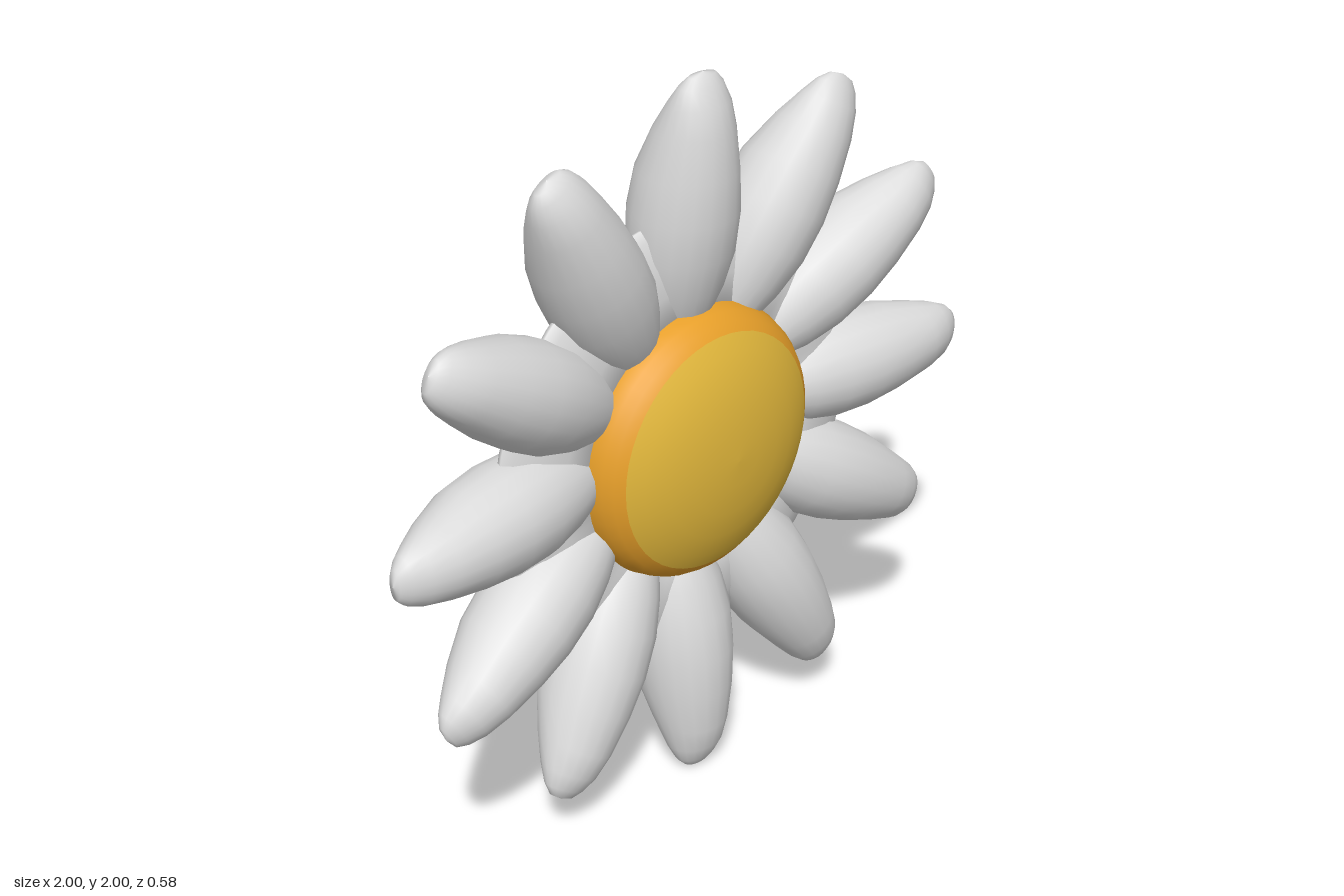
import * as THREE from 'three';
import { mergeVertices } from 'three/addons/utils/BufferGeometryUtils.js';

const paint = (name, color) => {
  const m = new THREE.MeshStandardMaterial({ color });
  m.name = name;
  return m;
};

// Petal sections: distance from the centre, half width, back z, front z
const SECTIONS = [
  [0.25, 0.002, 0.05, 0.054], [0.27, 0.045, -0.005, 0.1], [0.33, 0.09, -0.042, 0.14],
  [0.42, 0.122, -0.057, 0.178], [0.52, 0.14, -0.063, 0.21], [0.63, 0.14, -0.06, 0.228],
  [0.74, 0.128, -0.035, 0.23], [0.85, 0.104, 0.02, 0.222], [0.92, 0.086, 0.067, 0.205],
  [0.965, 0.066, 0.1, 0.183], [0.99, 0.042, 0.125, 0.166], [0.998, 0.001, 0.147, 0.149],
];

// A lofted petal pointing along +y
function petalGeometry() {
  const tube = new THREE.LatheGeometry(SECTIONS.map((s, i) => new THREE.Vector2(1, i)), 20);
  const p = tube.attributes.position;
  for (let i = 0; i < p.count; i++) {
    const [r, w, back, front] = SECTIONS[Math.round(p.getY(i))];
    p.setXYZ(i, p.getX(i) * w, r, (front + back) / 2 + p.getZ(i) * (front - back) / 2);
  }
  tube.deleteAttribute('uv');
  tube.deleteAttribute('normal');
  const g = mergeVertices(tube, 1e-5);
  g.computeVertexNormals();
  return g;
}

// A profile of [radius, z] pairs turned about the z axis
function turned(name, profile, material) {
  const points = profile.map(([r, z]) => new THREE.Vector2(r, z));
  const mesh = new THREE.Mesh(new THREE.LatheGeometry(points, 48).rotateX(Math.PI / 2), material);
  mesh.name = name;
  return mesh;
}

export function createModel() {
  const white = paint('petal white', 0xdcdcdc);
  const yellow = paint('centre yellow', 0xe3b83c);
  const orange = paint('rim orange', 0xe8a02a);
  const green = paint('base green', 0x4f9f3b);

  const flower = new THREE.Group();
  flower.name = 'flower';
  flower.position.y = 1;

  // Twelve petals and the web that joins them
  const petal = petalGeometry();
  for (let i = 0; i < 12; i++) {
    const mesh = new THREE.Mesh(petal, white);
    mesh.name = 'petal';
    mesh.rotation.z = i * Math.PI / 6;
    flower.add(mesh);
  }
  flower.add(turned('petalWeb', [
    [0.31, 0], [0.325, -0.035], [0.37, -0.048], [0.45, -0.035], [0.55, 0.015], [0.615, 0.06],
    [0.625, 0.08], [0.6, 0.1], [0.53, 0.125], [0.45, 0.135], [0.33, 0.13], [0.31, 0],
  ], white));

  // Flower centre: domed face, rounded rim, flat back
  flower.add(turned('centreDome', [
    [0.322, 0.214], [0.28, 0.238], [0.22, 0.261], [0.15, 0.278], [0.07, 0.288], [0, 0.29],
  ], yellow));
  flower.add(turned('centreRim', [
    [0.35, -0.04], [0.368, 0.03], [0.375, 0.1], [0.374, 0.135], [0.362, 0.17],
    [0.345, 0.195], [0.322, 0.214],
  ], orange));
  flower.add(turned('centreBack', [[0, -0.04], [0.35, -0.04]], yellow));

  // Green base behind the flower
  const base = new THREE.Mesh(new THREE.SphereGeometry(1, 40, 24), green);
  base.name = 'base';
  base.scale.set(0.253, 0.253, 0.168);
  base.position.z = -0.122;
  flower.add(base);

  const model = new THREE.Group();
  model.add(flower);
  return model;
}
